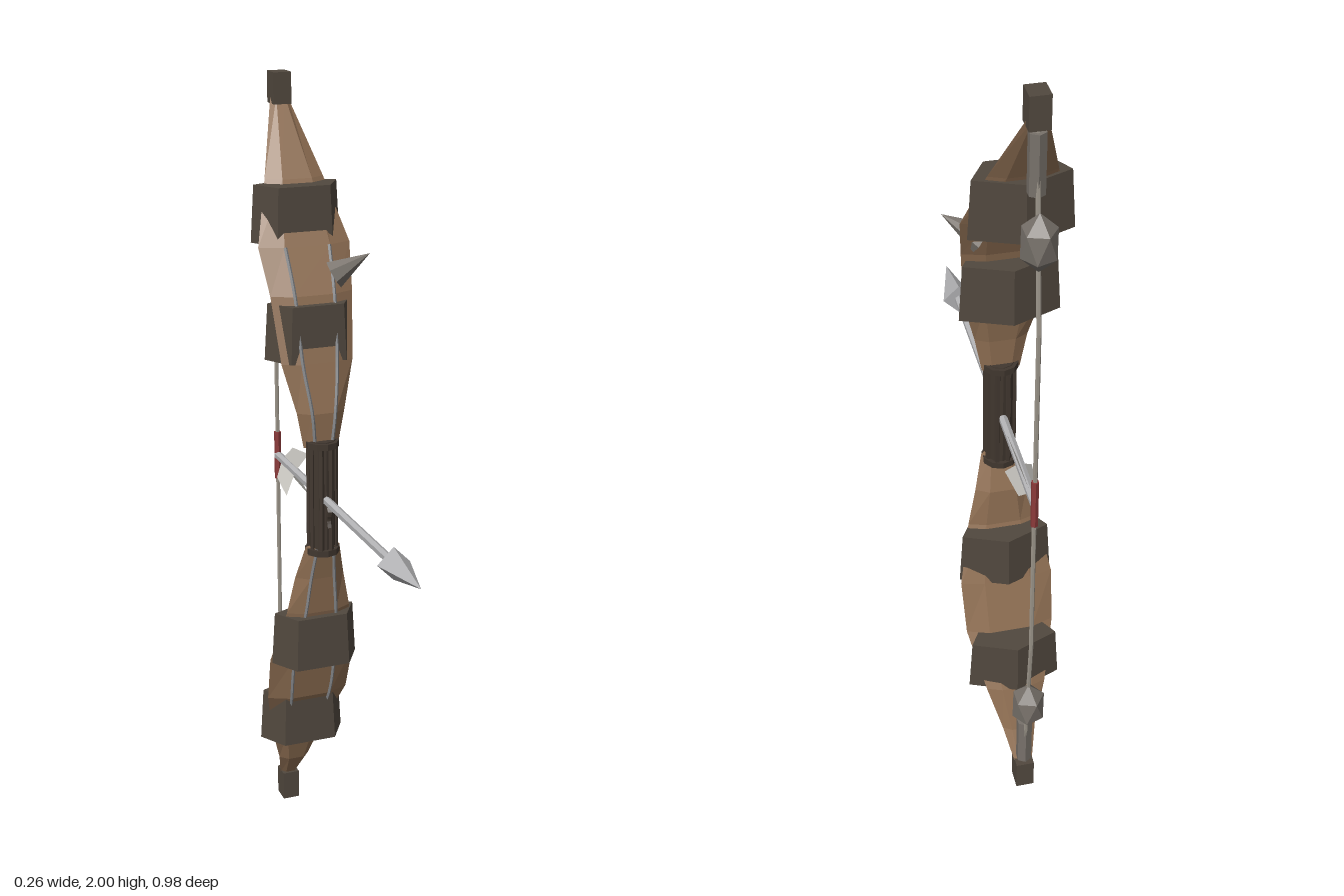
import * as THREE from 'three';

const CX = -0.015; // the bow's centre line

const mat = (name, color, extra = {}) => {
  const m = new THREE.MeshStandardMaterial({ color, flatShading: true, ...extra });
  m.name = name;
  return m;
};

export function createModel() {
  const wood = mat('wood', 0x8f6f53);
  const band = mat('darkBand', 0x51483e);
  const leather = mat('darkLeather', 0x41372f);
  const stone = mat('stone', 0x77716a);
  const steel = mat('steel', 0xb2b2b4);
  const vane = mat('paleVane', 0xc8c6c0, { side: THREE.DoubleSide });
  const cord = mat('cord', 0x9c958a);
  const red = mat('redServing', 0x8c3a3a);
  const wire = mat('wire', 0x85878a);

  const root = new THREE.Group();
  root.name = 'bowAndArrow';
  const add = (name, geo, material, x = 0, y = 0, z = 0, parent = root) => {
    const m = new THREE.Mesh(geo, material);
    m.name = name;
    m.position.set(x, y, z);
    parent.add(m);
    return m;
  };

  // Limb: flattened hexagon sections [y, zFront, zBack, halfWidth], listed from bottom to top
  const limbGeometry = (rows) => {
    const pos = [], idx = [], n = 6;
    for (const [y, zf, zb, w] of rows) {
      const zm = (zf + zb) / 2 - 0.004;
      pos.push(CX + w, y, zm, CX + w * 0.5, y, zb, CX - w * 0.5, y, zb,
        CX - w, y, zm, CX - w * 0.5, y, zf, CX + w * 0.5, y, zf);
    }
    for (let r = 0; r < rows.length - 1; r++) {
      for (let i = 0; i < n; i++) {
        const a = r * n + i, b = r * n + (i + 1) % n;
        idx.push(a, b, b + n, a, b + n, a + n);
      }
    }
    const top = (rows.length - 1) * n;
    for (let i = 1; i < n - 1; i++) {
      idx.push(0, i + 1, i);
      idx.push(top, top + i, top + i + 1);
    }
    const g = new THREE.BufferGeometry();
    g.setAttribute('position', new THREE.Float32BufferAttribute(pos, 3));
    g.setIndex(idx);
    g.computeVertexNormals();
    return g;
  };
  const upper = [
    [1.13, -0.115, -0.145, 0.045], [1.22, -0.11, -0.15, 0.062], [1.34, -0.135, -0.17, 0.092],
    [1.5, -0.17, -0.21, 0.105], [1.61, -0.22, -0.26, 0.117], [1.76, -0.29, -0.33, 0.075],
    [1.94, -0.405, -0.425, 0.022],
  ];
  const lower = [
    [0.07, -0.405, -0.425, 0.022], [0.15, -0.345, -0.38, 0.042], [0.26, -0.305, -0.34, 0.075],
    [0.4, -0.225, -0.27, 0.11], [0.53, -0.19, -0.225, 0.115], [0.68, -0.14, -0.175, 0.085],
    [0.78, -0.125, -0.17, 0.065], [0.87, -0.105, -0.14, 0.045],
  ];
  add('upperLimb', limbGeometry(upper), wood);
  add('lowerLimb', limbGeometry(lower), wood);

  // Thin wires running along the limb fronts
  for (const rows of [upper, lower]) {
    for (const s of [-1, 1]) {
      const pts = rows.filter((r) => r[0] > 0.2 && r[0] < 1.7)
        .map(([y, zf, , w]) => new THREE.Vector3(CX + s * w * 0.48, y, zf));
      add('limbWire', new THREE.TubeGeometry(new THREE.CatmullRomCurve3(pts), 20, 0.0045, 4), wire);
    }
  }

  // Five-sided bands with a flat front and a ridge behind: [y, z]
  for (const [y, z] of [[1.68, -0.287], [1.41, -0.195], [0.6, -0.175], [0.33, -0.282]]) {
    const g = new THREE.CylinderGeometry(0.112, 0.121, 0.14, 5, 1, false, Math.PI);
    g.scale(1, 1, 0.54);
    add('limbBand', g, band, CX, y, z);
  }

  // Grip with ridges and end collars
  add('grip', new THREE.CylinderGeometry(0.034, 0.034, 0.3, 10), leather, CX, 1, -0.128);
  for (let i = 0; i < 8; i++) {
    const a = (i + 0.5) / 8 * Math.PI * 2;
    add('gripRidge', new THREE.CylinderGeometry(0.007, 0.007, 0.28, 5), leather,
      CX + Math.sin(a) * 0.033, 1, -0.128 + Math.cos(a) * 0.033);
  }
  for (const y of [0.86, 1.14]) {
    add('gripCollar', new THREE.CylinderGeometry(0.043, 0.043, 0.016, 10), leather, CX, y, -0.128);
  }
  // Hooked arrow rest
  const hook = new THREE.CatmullRomCurve3([
    new THREE.Vector3(CX, 0.99, -0.095), new THREE.Vector3(CX, 0.978, -0.072),
    new THREE.Vector3(CX, 0.955, -0.08), new THREE.Vector3(CX, 0.935, -0.074),
  ]);
  add('arrowRest', new THREE.TubeGeometry(hook, 8, 0.008, 5), leather);

  // Tips, string anchors and hanging weights
  for (const [tipY, rodY, weightY, tipH] of [[1.962, 1.845, 1.68, 0.076], [0.04, 0.16, 0.323, 0.08]]) {
    add('limbTip', new THREE.BoxGeometry(0.045, tipH, 0.05), band, CX, tipY, -0.415);
    add('stringAnchor', new THREE.CylinderGeometry(0.02, 0.02, 0.14, 6), stone, CX, rodY, -0.42);
    const g = new THREE.IcosahedronGeometry(1, 0);
    g.rotateZ(Math.atan(2 / (1 + Math.sqrt(5))));
    g.scale(0.044, 0.07, 0.044);
    add('weight', g, stone, CX, weightY, -0.453);
  }

  // Bowstring and its red serving
  const path = new THREE.CurvePath();
  const stops = [[1.93, -0.425], [1.77, -0.437], [1.61, -0.452], [1.47, -0.467],
    [0.53, -0.467], [0.39, -0.452], [0.23, -0.437], [0.07, -0.425]]
    .map(([y, z]) => new THREE.Vector3(CX, y, z));
  for (let i = 1; i < stops.length; i++) path.add(new THREE.LineCurve3(stops[i - 1], stops[i]));
  add('bowstring', new THREE.TubeGeometry(path, 48, 0.0055, 6), cord);
  add('serving', new THREE.CylinderGeometry(0.009, 0.009, 0.13, 6), red, CX, 1, -0.467);

  // Thorn on the upper limb
  const base = new THREE.Vector3(0.045, 1.54, -0.2), tip = new THREE.Vector3(0.127, 1.592, -0.17);
  const dir = tip.clone().sub(base);
  const thorn = add('thorn', new THREE.ConeGeometry(0.036, dir.length(), 7), stone);
  thorn.position.copy(base).addScaledVector(dir, 0.5);
  thorn.quaternion.setFromUnitVectors(new THREE.Vector3(0, 1, 0), dir.normalize());

  // Arrow, pointing forward
  const arrow = new THREE.Group();
  arrow.name = 'arrow';
  arrow.position.set(CX, 1, 0);
  root.add(arrow);
  add('arrowShaft', new THREE.CylinderGeometry(0.011, 0.011, 0.81, 6).rotateX(Math.PI / 2),
    steel, 0, 0, -0.06, arrow);
  add('arrowHead', new THREE.ConeGeometry(0.04, 0.157, 4).rotateX(Math.PI / 2),
    steel, 0, 0, 0.4145, arrow);

  // Swept vanes, drawn as radius against z
  const outline = new THREE.Shape([[-0.43, 0], [-0.39, 0.045], [-0.283, 0.062], [-0.32, 0.008]]
    .map(([z, r]) => new THREE.Vector2(z, r)));
  for (const turn of [-0.35, Math.PI - 0.7, Math.PI + 0.4]) {
    const g = new THREE.ShapeGeometry(outline).rotateY(-Math.PI / 2);
    const v = add('arrowVane', g, vane, 0, 0, 0, arrow);
    v.rotation.z = turn;
  }
  return root;
}
